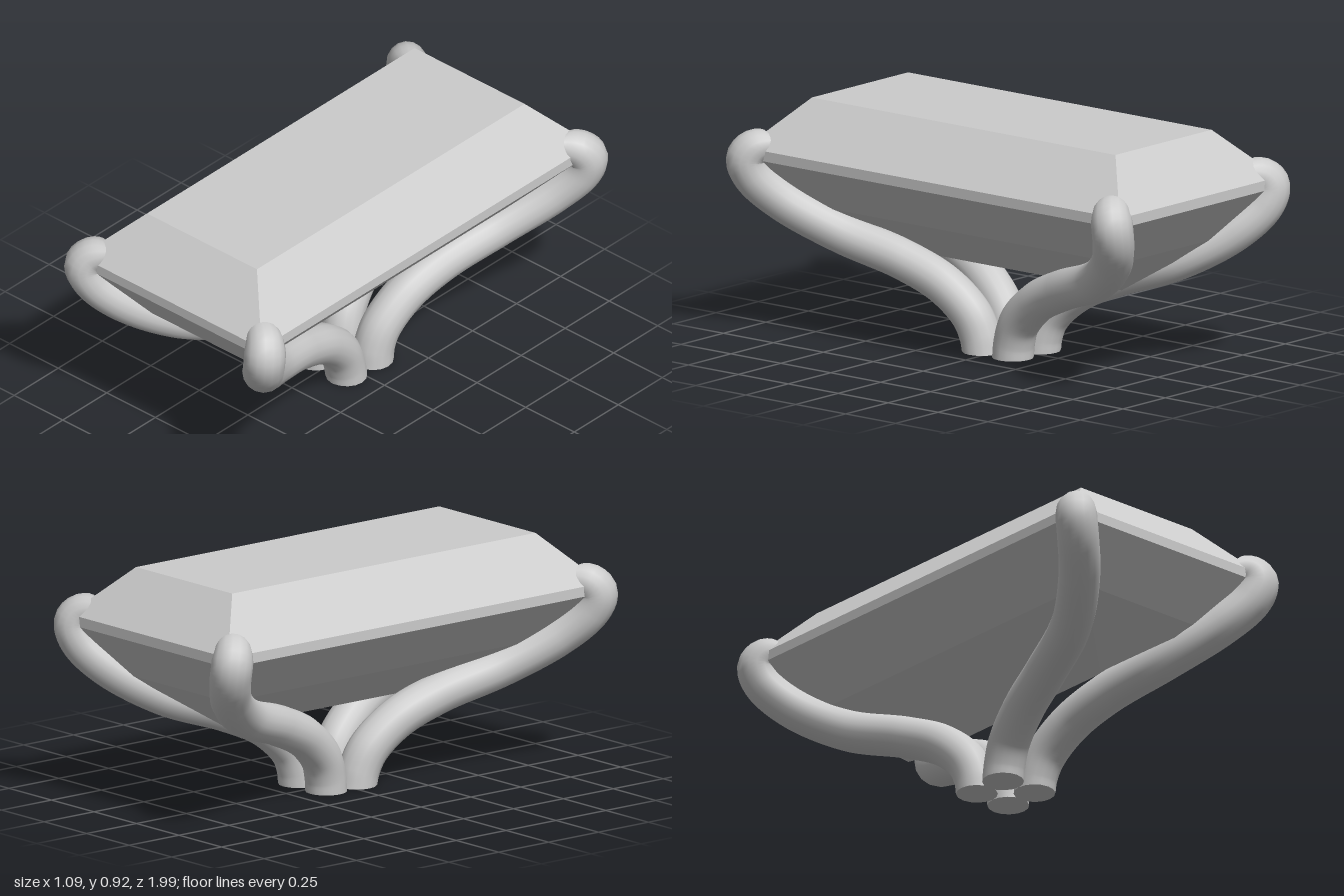
import * as THREE from 'three';

const grey = () => new THREE.MeshStandardMaterial({ color: 0xcccccc });

// Step-cut stone: stacked rectangular sections, closed by a flat table and a keel
function createGem() {
  const sections = [ // y, half width, half length
    [0.31, 0, 0.55],
    [0.5, 0.29, 0.79],
    [0.69, 0.47, 0.94],
    [0.73, 0.47, 0.94],
    [0.92, 0.283, 0.76],
  ];
  const cx = -0.01, cz = -0.01;
  const rings = sections.map(([y, w, l]) =>
    [[-w, l], [w, l], [w, -l], [-w, -l]].map(([x, z]) => [x + cx, y, z + cz]));
  const pos = [];
  const quad = (a, b, c, d) => pos.push(...a, ...b, ...c, ...a, ...c, ...d);
  for (let i = 0; i < rings.length - 1; i++) {
    for (let j = 0; j < 4; j++) {
      const k = (j + 1) % 4;
      // the lowest tier ends in a ridge, so its end facets are triangles
      if (i === 0 && j % 2 === 0) pos.push(...rings[0][j], ...rings[1][k], ...rings[1][j]);
      else quad(rings[i][j], rings[i][k], rings[i + 1][k], rings[i + 1][j]);
    }
  }
  quad(...rings[rings.length - 1]);
  const geo = new THREE.BufferGeometry();
  geo.setAttribute('position', new THREE.Float32BufferAttribute(pos, 3));
  geo.computeVertexNormals();
  const material = grey();
  material.flatShading = true;
  const gem = new THREE.Mesh(geo, material);
  gem.name = 'gem';
  return gem;
}

// Claw running from the shared foot out under the stone and hooking over a corner
function createProng(sx, sz) {
  const radius = 0.08, rows = 96, sides = 16;
  const path = [
    [0.08, 0, 0.075], [0.082, 0.06, 0.085], [0.092, 0.14, 0.12], [0.115, 0.24, 0.23],
    [0.155, 0.32, 0.40], [0.24, 0.405, 0.64], [0.36, 0.52, 0.82],
    [0.44, 0.62, 0.9], [0.463, 0.69, 0.915], [0.445, 0.73, 0.895], [0.385, 0.745, 0.85],
  ];
  // the foot sits slightly off centre, the tips are centred
  const curve = new THREE.CatmullRomCurve3(path.map(([x, y, z]) => {
    const fade = Math.max(0, 1 - y / 0.7);
    return new THREE.Vector3(sx * x + 0.015 * fade, y, sz * z - 0.03 * fade);
  }));
  const geo = new THREE.TubeGeometry(curve, rows, radius, sides, false);
  const p = geo.attributes.position, v = new THREE.Vector3();
  const taperStart = 0.92;
  for (let i = 0; i <= rows; i++) {
    const t = i / rows, c = curve.getPointAt(t);
    const u = Math.max(0, (t - taperStart) / (1 - taperStart));
    const scale = (1 - 0.25 * u) * Math.sqrt(Math.max(0, 1 - u ** 6));
    for (let j = 0; j <= sides; j++) {
      const n = i * (sides + 1) + j;
      v.fromBufferAttribute(p, n).sub(c).multiplyScalar(scale).add(c);
      p.setXYZ(n, v.x, i === 0 ? 0 : Math.max(0, v.y), v.z);
    }
  }
  const prong = new THREE.Group();
  prong.name = 'prong';
  const claw = new THREE.Mesh(geo, grey());
  claw.name = 'claw';

  // flat underside
  const foot = new THREE.Mesh(new THREE.CircleGeometry(radius, sides), grey());
  foot.name = 'footCap';
  foot.rotation.x = Math.PI / 2;
  foot.position.copy(curve.getPointAt(0));
  prong.add(claw, foot);
  return prong;
}

export function createModel() {
  const model = new THREE.Group();
  model.name = 'gemSetting';
  model.add(createGem());
  for (const sx of [-1, 1]) for (const sz of [-1, 1]) model.add(createProng(sx, sz));
  return model;
}
